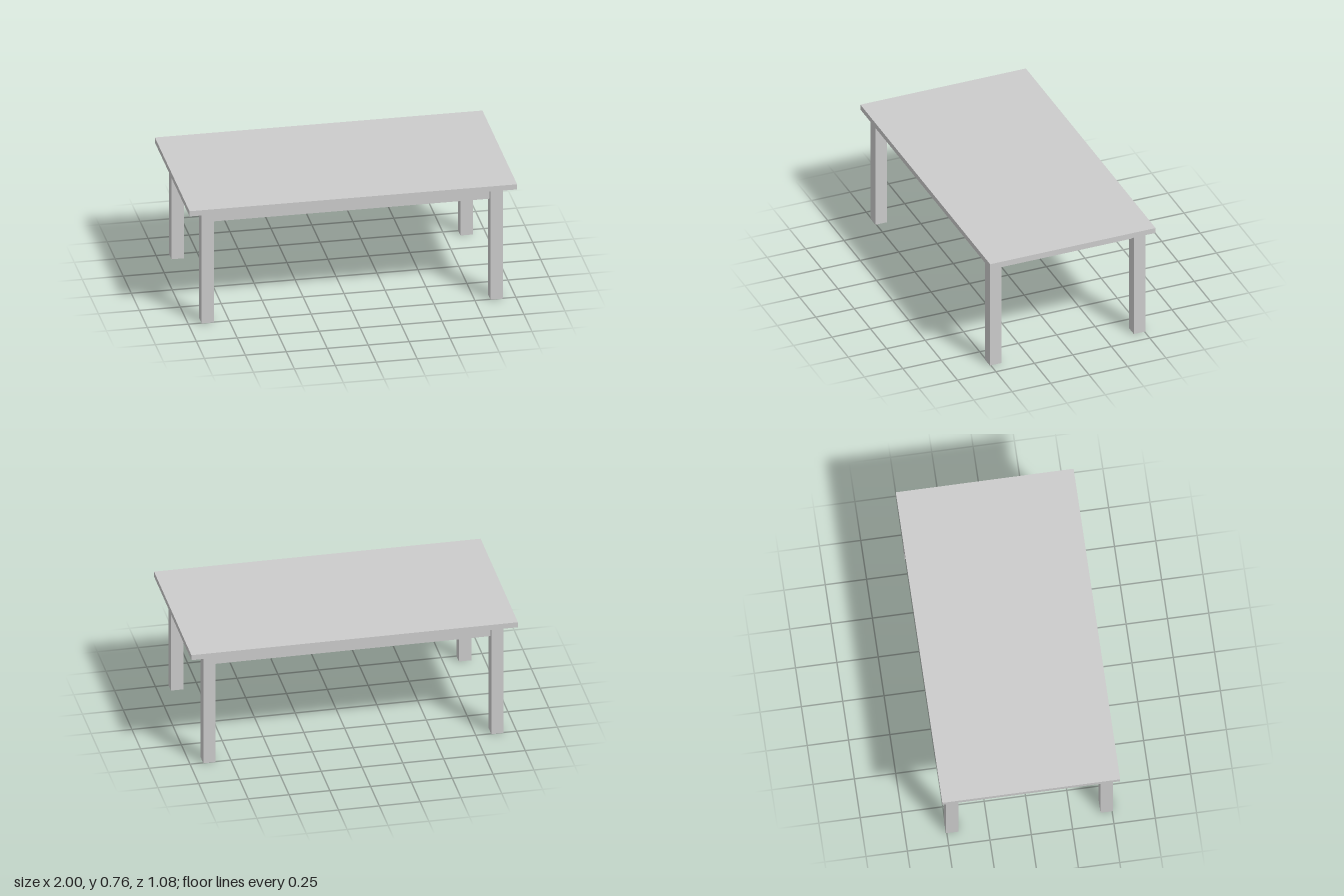
import * as THREE from 'three';

export function createModel() {
  const table = new THREE.Group();
  table.name = 'table';
  const material = new THREE.MeshStandardMaterial({ color: 0xcccccc });

  // Box spanning y0..y1, centred at x, z
  const addBox = (name, w, d, y0, y1, x, z) => {
    const mesh = new THREE.Mesh(new THREE.BoxGeometry(w, y1 - y0, d), material);
    mesh.name = name;
    mesh.position.set(x, (y0 + y1) / 2, z);
    table.add(mesh);
  };

  const topY = 0.762, underY = 0.728, apronY = 0.655;
  const leg = 0.076, legX = 0.882, legZ = 0.468, apron = 0.025;

  // Flat top
  addBox('tabletop', 2, 1.076, underY, topY, 0, 0);

  for (const s of [-1, 1]) {
    const side = s > 0 ? 'left' : 'right';
    const end = s > 0 ? 'front' : 'back';

    // Square legs at the corners
    for (const t of [-1, 1]) {
      addBox(`${t > 0 ? 'front' : 'back'}${s > 0 ? 'Left' : 'Right'}Leg`, leg, leg, 0, underY, s * legX, t * legZ);
    }

    // Thin aprons running between the leg centrelines
    addBox(`${end}Apron`, 2 * legX - leg, apron, apronY, underY, 0, s * legZ);
    addBox(`${side}Apron`, apron, 2 * legZ - leg, apronY, underY, s * legX, 0);
  }

  return table;
}
